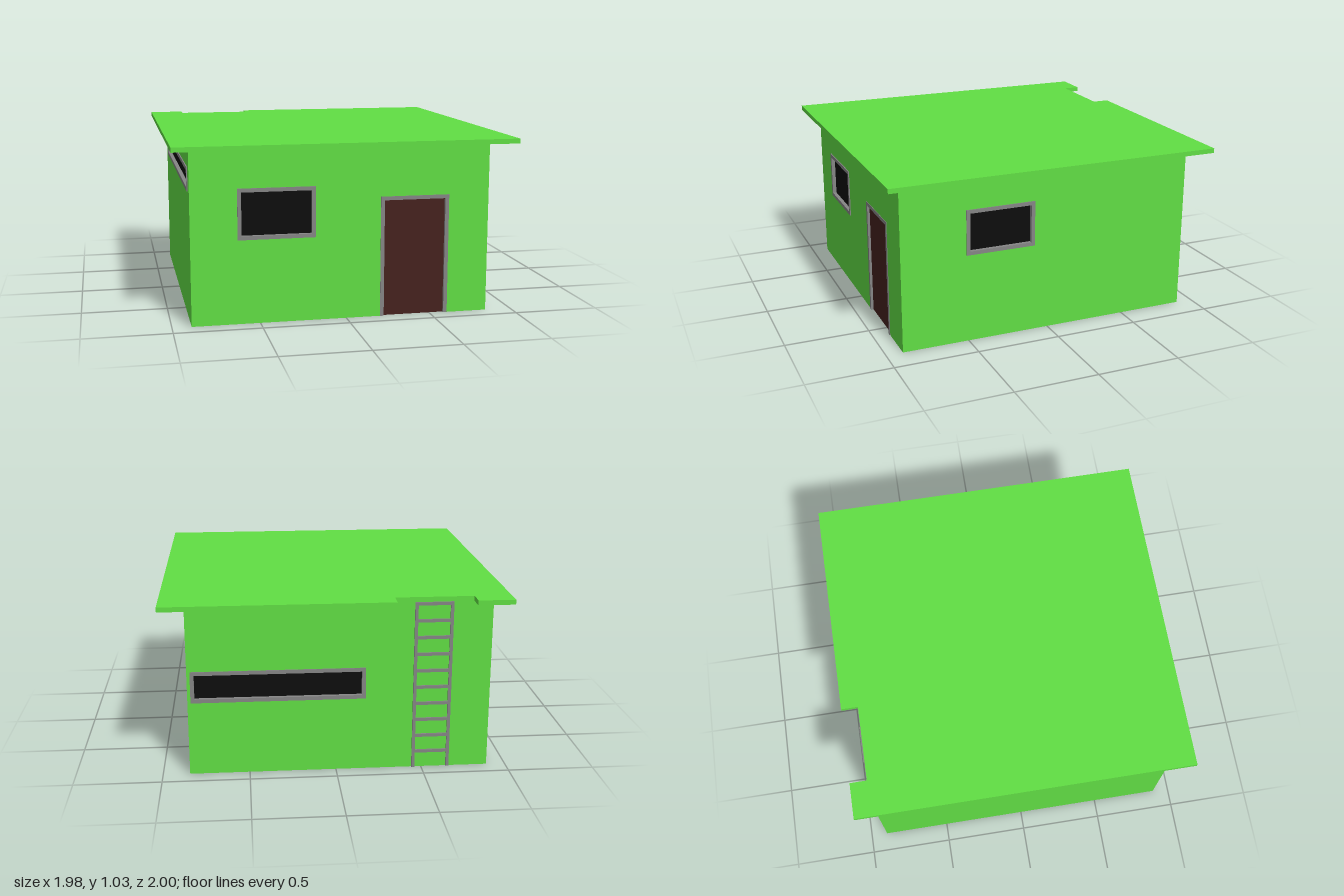
import * as THREE from 'three';

const mat = (color) => new THREE.MeshStandardMaterial({ color, flatShading: true });
const green = mat(0x61de44), grey = mat(0x858585), black = mat(0x0d0d0d), brown = mat(0x45211e);

const X0 = -0.89, X1 = 0.845, Z = 0.9, H = 1; // wall extents
const T = 0.02; // wall skin thickness, also the depth of the openings
const OUT = 0.006; // how far frames stand proud
const RIM = 0.022; // frame width

function mesh(name, geometry, material, x = 0, y = 0, z = 0) {
  const m = new THREE.Mesh(geometry, material);
  m.name = name;
  m.position.set(x, y, z);
  return m;
}

function box(name, x0, x1, y0, y1, z0, z1, material) {
  return mesh(name, new THREE.BoxGeometry(x1 - x0, y1 - y0, z1 - z0), material,
    (x0 + x1) / 2, (y0 + y1) / 2, (z0 + z1) / 2);
}

const polygon = (points) => points.map(([x, y]) => new THREE.Vector2(x, y));
const rect = (x0, x1, y0, y1) => polygon([[x0, y0], [x1, y0], [x1, y1], [x0, y1]]);

function extrude(shape, depth) {
  return new THREE.ExtrudeGeometry(shape, { depth, bevelEnabled: false });
}

// One wall facing local +z with a framed window and, optionally, a framed door
function makeWall(name, x0, x1, window, door) {
  const wall = new THREE.Group();
  wall.name = name;
  const outline = [[x0, 0]];
  if (door) {
    const [a, b, top] = door;
    outline.push([a, 0], [a, top], [b, top], [b, 0]);
    const frame = new THREE.Shape(polygon([
      [a, 0], [a + RIM, 0], [a + RIM, top - RIM], [b - RIM, top - RIM],
      [b - RIM, 0], [b, 0], [b, top], [a, top],
    ]));
    wall.add(mesh('doorFrame', extrude(frame, T + 0.003), grey, 0, 0, -T));
    wall.add(box('door', a + RIM, b - RIM, 0, top - RIM, -T, -0.012, brown));
  }
  outline.push([x1, 0], [x1, H], [x0, H]);

  const [a, b, c, d] = window;
  const skin = new THREE.Shape(polygon(outline));
  skin.holes.push(new THREE.Path(rect(a, b, c, d)));
  wall.add(mesh('wallSkin', extrude(skin, T), green, 0, 0, -T));

  const frame = new THREE.Shape(rect(a, b, c, d));
  frame.holes.push(new THREE.Path(rect(a + RIM, b - RIM, c + RIM, d - RIM)));
  wall.add(mesh('windowFrame', extrude(frame, T + OUT), grey, 0, 0, -T));
  wall.add(box('windowGlass', a + RIM, b - RIM, c + RIM, d - RIM, -T, -T + 0.003, black));
  return wall;
}

// Flat slab overhanging the walls, notched at the back for the ladder
function makeRoof() {
  const shape = new THREE.Shape(polygon([
    [-0.99, -1], [0.988, -1], [0.988, 1], [-0.328, 1],
    [-0.328, Z], [-0.778, Z], [-0.778, 1], [-0.99, 1],
  ]));
  const geometry = extrude(shape, 0.028).rotateX(-Math.PI / 2);
  return mesh('roof', geometry, green, 0, H, 0);
}

// Ladder lying against the back wall
function makeLadder() {
  const ladder = new THREE.Group();
  ladder.name = 'ladder';
  const left = -0.663, right = -0.443, rail = 0.018, back = -Z - 0.01;
  ladder.add(box('ladderRail', left, left + rail, 0, H, back, -Z, grey));
  ladder.add(box('ladderRail', right - rail, right, 0, H, back, -Z, grey));
  for (let i = 1; i <= 10; i++) {
    const y = i * 0.099;
    ladder.add(box('ladderRung', left + rail, right - rail, y - 0.009, y + 0.009, back, -Z, grey));
  }
  return ladder;
}

export function createModel() {
  const house = new THREE.Group();
  house.name = 'house';

  // Solid core behind the wall skins
  house.add(box('core', X0 + T, X1 - T, 0, H, -Z + T, Z - T, green));

  // Four walls
  const front = makeWall('frontWall', X0, X1, [-0.625, -0.18, 0.485, 0.777], [0.2, 0.605, 0.703]);
  front.position.z = Z;

  const back = makeWall('backWall', -X1, -X0, [-0.827, 0.17, 0.435, 0.62]);
  back.position.z = -Z;
  back.rotation.y = Math.PI;

  const left = makeWall('leftWall', -Z + T, Z - T, [-0.51, -0.09, 0.53, 0.8]);
  left.position.x = X1;
  left.rotation.y = Math.PI / 2;

  const right = makeWall('rightWall', -Z + T, Z - T, [-0.73, 0.82, 0.757, 0.895]);
  right.position.x = X0;
  right.rotation.y = -Math.PI / 2;

  house.add(front, back, left, right, makeRoof(), makeLadder());
  return house;
}
